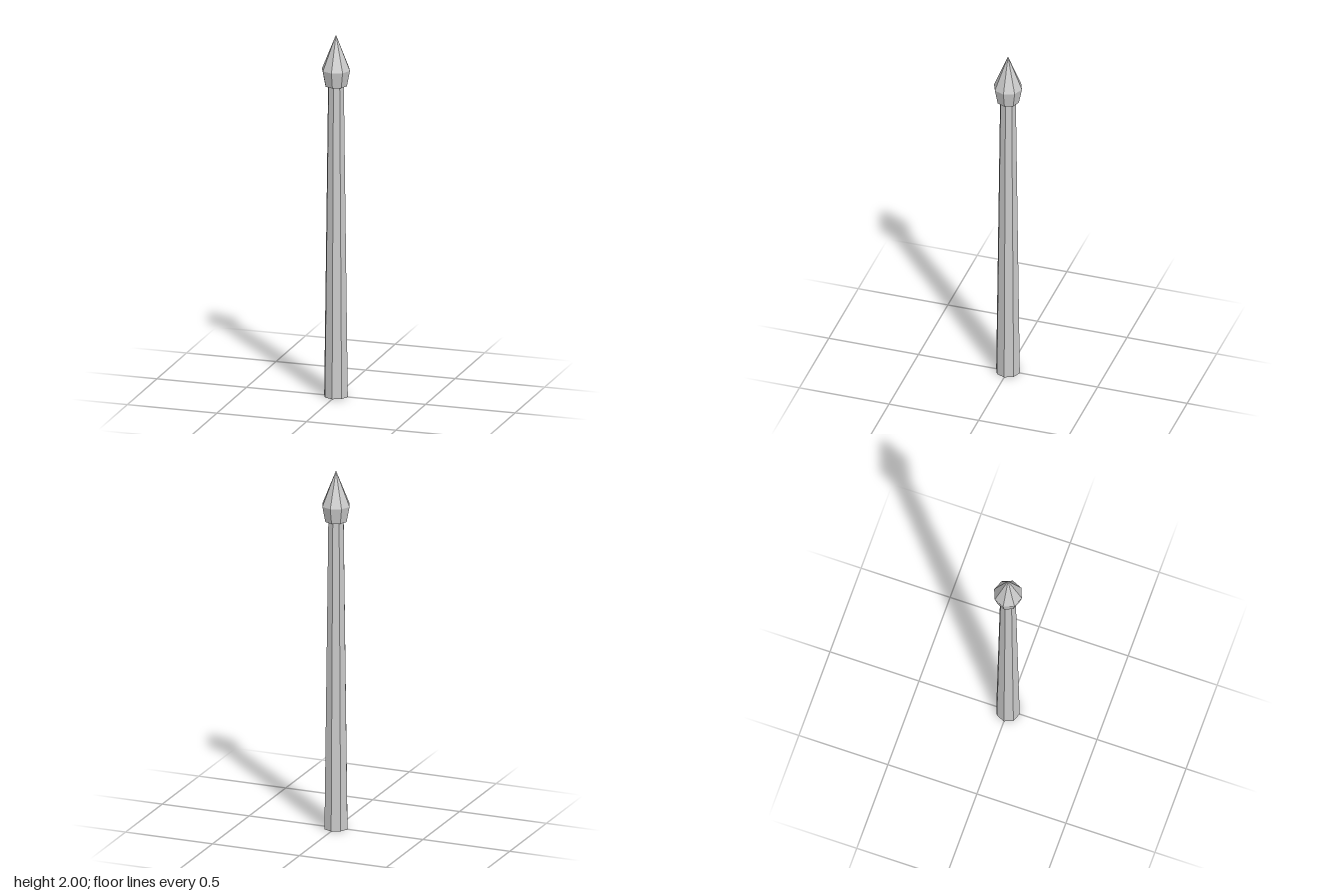
import * as THREE from 'three';

const SIDES = 8;

export function createModel() {
  const group = new THREE.Group();
  const material = new THREE.MeshStandardMaterial({ color: 0xcccccc, flatShading: true });

  function add(name, geometry, y) {
    const mesh = new THREE.Mesh(geometry, material);
    mesh.name = name;
    mesh.position.y = y;
    group.add(mesh);
  }

  // Tapered octagonal post
  const shaftHeight = 1.72;
  add('shaft', new THREE.CylinderGeometry(0.044, 0.066, shaftHeight, SIDES), shaftHeight / 2);

  // Pointed finial: closed underside, flared collar, then a spike
  const profile = [[0, 0], [0.061, 0], [0.078, 0.087], [0, 0.28]]
    .map(([r, y]) => new THREE.Vector2(r, y));
  add('spearhead', new THREE.LatheGeometry(profile, SIDES), shaftHeight);

  return group;
}
